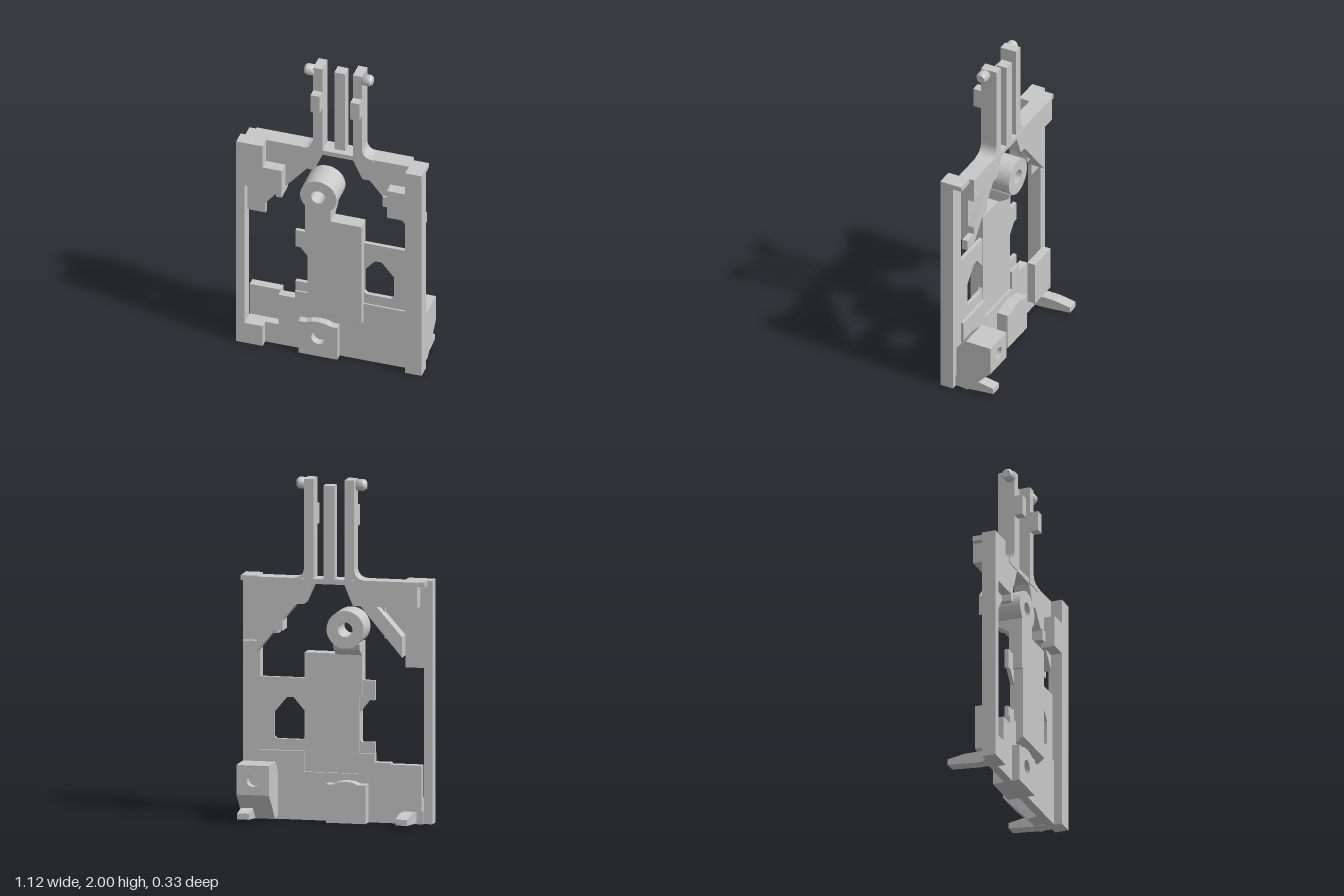
import * as THREE from 'three';

const grey = new THREE.MeshStandardMaterial({ color: 0xc8c8c8 });
grey.name = 'light grey plastic';

export function createModel() {
  const model = new THREE.Group();
  model.name = 'latchFrame';

  const add = (name, geometry) => {
    const mesh = new THREE.Mesh(geometry, grey);
    mesh.name = name;
    model.add(mesh);
    return mesh;
  };
  const box = (name, x0, x1, y0, y1, z0, z1) =>
    add(name, new THREE.BoxGeometry(x1 - x0, y1 - y0, z1 - z0)
      .translate((x0 + x1) / 2, (y0 + y1) / 2, (z0 + z1) / 2));
  const toShape = (pts) => new THREE.Shape(pts.map(([x, y]) => new THREE.Vector2(x, y)));
  const circle = (x, y, r) => new THREE.Path().absarc(x, y, r, 0, Math.PI * 2, true);
  // outline in x, y pushed from z0 to z1
  const plate = (name, outline, z0, z1, holes = []) => {
    const shape = Array.isArray(outline) ? toShape(outline) : outline;
    shape.holes = holes;
    return add(name, new THREE.ExtrudeGeometry(shape,
      { depth: z1 - z0, bevelEnabled: false, curveSegments: 24 }).translate(0, 0, z0));
  };
  // outline in z, y pushed from x0 to x1
  const profile = (name, pts, x0, x1) =>
    add(name, new THREE.ExtrudeGeometry(toShape(pts), { depth: x1 - x0, bevelEnabled: false })
      .rotateY(-Math.PI / 2).translate(x1, 0, 0));

  // side rails and their caps
  box('leftRail', 0.46, 0.56, 0, 1.42, 0.085, 0.167);
  box('leftRailCap', 0.46, 0.56, 1.39, 1.42, 0.03, 0.085);
  box('rightRail', -0.56, -0.51, 0, 1.42, 0.085, 0.167);
  box('rightRailCap', -0.53, -0.485, 1.39, 1.42, 0.012, 0.085);

  // upper corners
  box('rightCorner', -0.51, -0.40, 1.12, 1.42, 0.085, 0.167);
  box('rightCornerStep', -0.40, -0.285, 1.12, 1.27, 0.085, 0.167);
  box('rightCornerLip', -0.32, -0.285, 1.08, 1.12, 0.05, 0.167);
  box('leftCornerStep', 0.35, 0.46, 1.08, 1.27, 0.085, 0.167);
  box('leftCornerTab', 0.305, 0.35, 1.11, 1.18, 0, 0.11);
  plate('rightPocketPlate', [[-0.51, 0.91], [-0.40, 0.91], [-0.40, 0.98], [-0.32, 1.08],
    [-0.32, 1.12], [-0.51, 1.12]], 0.085, 0.11);

  // shoulder beam with the notch below the prongs
  plate('shoulder', [[-0.49, 1.27], [-0.11, 1.27], [-0.06, 1.39], [0.125, 1.39], [0.18, 1.27],
    [0.46, 1.27], [0.46, 1.42], [-0.49, 1.42]], 0, 0.10);

  // diagonal braces, the foot of the left one, and the thin webs beside them
  plate('rightBrace', [[-0.40, 0.98], [-0.155, 1.27], [-0.25, 1.27], [-0.40, 1.10]], 0, 0.085);
  plate('leftBrace', [[0.46, 0.98], [0.46, 1.09], [0.315, 1.27], [0.225, 1.27]], 0, 0.085);
  plate('leftBraceFoot', [[0.46, 0.98], [0.54, 0.98], [0.54, 1.045], [0.46, 1.045]], 0, 0.035);
  plate('rightWeb', [[-0.285, 1.115], [-0.155, 1.27], [-0.285, 1.27]], 0.06, 0.10);
  plate('leftWeb', [[0.46, 0.98], [0.46, 1.27], [0.225, 1.27]], 0.04, 0.10);

  // two prongs with flared roots, catches and pins
  for (const s of [-1, 1]) {
    const c = 0.0325, X = (d) => c + s * d;
    const outline = new THREE.Shape();
    outline.moveTo(X(0.0925), 1.39);
    outline.lineTo(X(0.0925), 2);
    outline.lineTo(X(0.1475), 2);
    outline.lineTo(X(0.1475), 1.49);
    outline.quadraticCurveTo(X(0.1475), 1.42, X(0.2175), 1.42);
    outline.lineTo(X(0.2175), 1.39);
    plate('prong', outline, 0.005, 0.105);
    const edges = [X(0.0925), X(0.1475)].sort((a, b) => a - b);
    box('prongCatch', ...edges, 1.72, 1.84, 0.105, 0.155);
    const pin = add('prongPin', new THREE.LatheGeometry([[0, -0.005], [0.034, -0.005], [0.034, 0.043],
      [0.034, 0.043], [0.024, 0.057], [0.024, 0.057], [0, 0.057]].map(([r, h]) => new THREE.Vector2(r, h)), 24));
    pin.rotation.z = -s * Math.PI / 2;
    pin.position.set(X(0.1475), 1.965, 0.078);
  }
  box('centreStrip', 0, 0.065, 1.39, 1.965, 0, 0.065);

  // lower wall, notched behind the lever, with the lower right pocket
  plate('lowerWall', [[-0.40, 0], [0.46, 0], [0.46, 0.40], [0.195, 0.40], [0.195, 0.28],
    [-0.13, 0.28], [-0.13, 0.40], [-0.22, 0.40], [-0.22, 0.35], [-0.32, 0.35], [-0.32, 0.14],
    [-0.40, 0.14]], 0.07, 0.12);
  box('rightFoot', -0.51, -0.40, 0, 0.14, 0.07, 0.167);
  box('rightPocketBack', -0.51, -0.32, 0.08, 0.35, 0.02, 0.07);

  // upper plate with cut-outs
  const opening = toShape([[0.195, 0.48], [0.21, 0.465], [0.36, 0.465], [0.375, 0.48],
    [0.375, 0.62], [0.30, 0.71], [0.26, 0.71], [0.197, 0.635]]);
  plate('midPlate', [[-0.22, 0.40], [0.46, 0.40], [0.46, 0.825], [-0.22, 0.825], [-0.22, 0.71],
    [-0.19, 0.71], [-0.13, 0.635], [-0.13, 0.48], [-0.145, 0.465], [-0.22, 0.465]],
  0.087, 0.11, [opening]);

  // lever: bevelled panel, neck and pierced boss
  profile('leverPanel', [[0.083, 0.275], [0.12, 0.265], [0.165, 0.30], [0.165, 0.975], [0.083, 0.975]],
    -0.13, 0.195);
  box('leverEdge', -0.145, -0.13, 0.73, 0.975, 0.085, 0.165);
  profile('leverNeck', [[0.165, 0.97], [0.165, 1.045], [0.01, 1.045], [0.02, 1.01], [0.085, 0.97]],
    -0.145, 0.01);
  const boss = new THREE.Shape().absarc(-0.065, 1.13, 0.11, 0, Math.PI * 2, false);
  plate('leverBoss', boss, -0.005, 0.165, [circle(-0.065, 1.13, 0.043)]);

  // bottom lug with a blind hole in front
  const lug = [[-0.185, 0], [0.05, 0], [0.05, 0.225], [0.01, 0.225], [-0.02, 0.238], [-0.065, 0.243],
    [-0.11, 0.238], [-0.14, 0.225], [-0.185, 0.225]];
  plate('lugFront', lug, 0.09, 0.165, [circle(-0.065, 0.13, 0.043)]);
  plate('lugBack', lug, 0, 0.09);

  // rear block: sloped body and a back face with a blind hole
  profile('rearBlock', [[0.07, 0.02], [0.07, 0.28], [0.01, 0.343], [-0.10, 0.343], [-0.10, 0.117],
    [0, 0.01]], 0.35, 0.543);
  plate('rearBlockFace', [[0.35, 0.17], [0.543, 0.17], [0.543, 0.343], [0.35, 0.343]],
    -0.153, -0.10, [circle(0.445, 0.255, 0.036)]);
  profile('rearBlockChamfer', [[-0.10, 0.117], [-0.10, 0.17], [-0.153, 0.17]], 0.35, 0.543);

  // rear pegs
  for (const x of [-0.47, 0.465]) {
    profile('rearPeg', [[0.08, 0.01], [0.08, 0.08], [-0.06, 0.08], [-0.165, 0.063], [-0.165, 0.028],
      [0, 0.012]], x, x + 0.07);
  }
  return model;
}
